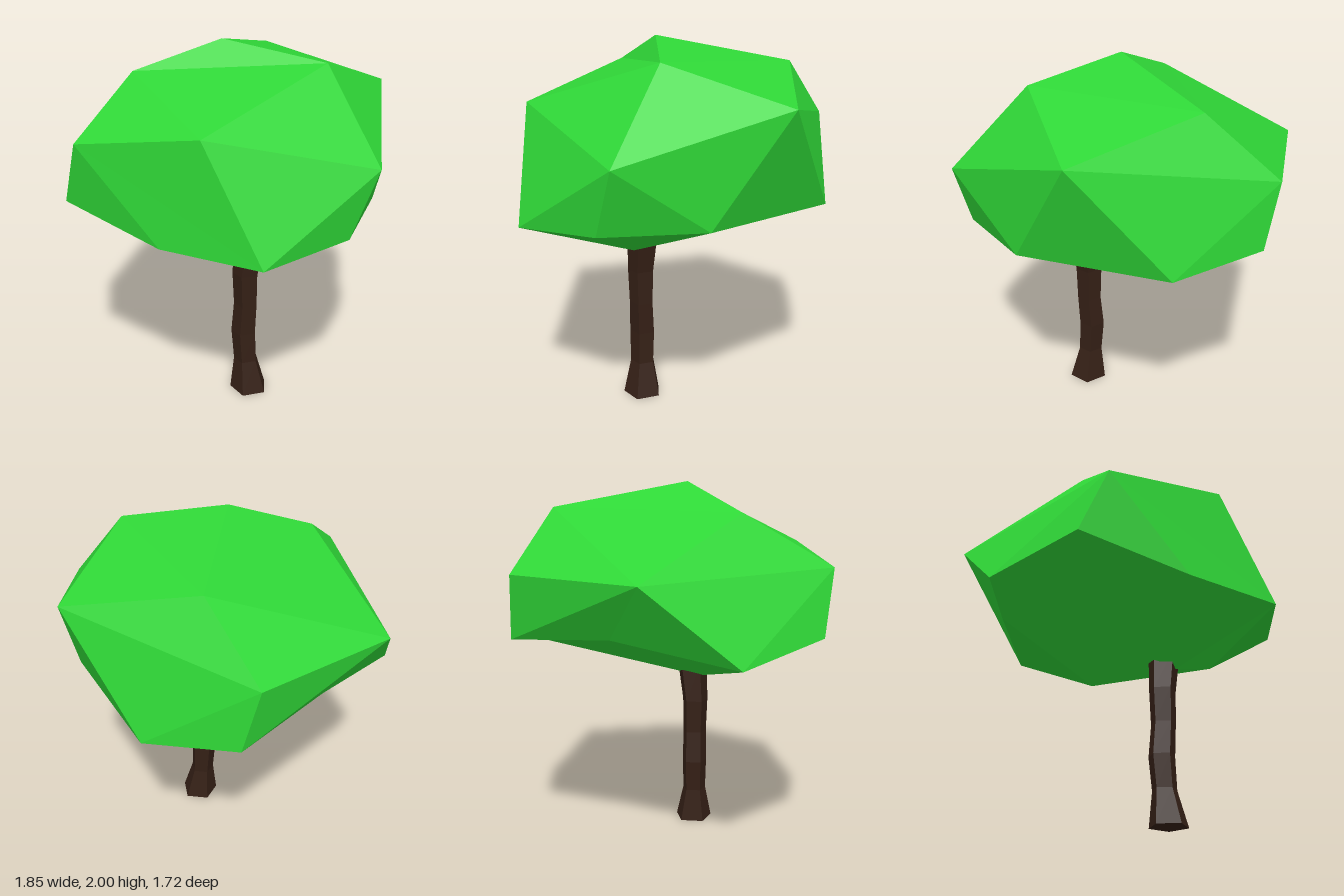
import * as THREE from 'three';

// Canopy corners: a stretched, uneven dodecahedron
const CORNERS = {
  A: [-0.56, 1.54, -0.75], B: [0.01, 1.14, -0.86], C: [0.49, 1.71, -0.75], D: [0.92, 1.47, 0.02],
  E: [0.66, 1.08, 0.61], F: [0.35, 1.67, 0.68], G: [-0.3, 1.57, 0.855], H: [-0.44, 1.23, 0.81],
  I: [-0.81, 1.13, 0.42], J: [-0.93, 1.53, -0.05], K: [-0.21, 1.865, -0.61], L: [0, 2, 0.08],
  M: [0.525, 1.91, -0.1], N: [-0.34, 1.84, 0.39], P: [0.83, 1.12, 0.13], Q: [0.67, 1.14, -0.39],
  R: [0.14, 1.1, 0.75], S: [0.26, 0.87, 0.13], T: [-0.48, 1.2, -0.78], U: [-0.67, 1.24, -0.23],
};
// Five-cornered faces, each split as a fan from its first corner
const FACES = [
  'NLMFG', 'KLNJA', 'MDCKL', 'DMFEP', 'GFERH', 'GHIJN',
  'JIUTA', 'ATBCK', 'QBCDP', 'EPQSR', 'BTUSQ', 'IUSRH',
];

function canopyGeometry() {
  const centre = new THREE.Vector3(0, 1.4, 0);
  const points = [];
  for (const face of FACES) {
    const p = [...face].map((k) => new THREE.Vector3(...CORNERS[k]));
    for (let i = 1; i < 4; i++) {
      const tri = new THREE.Triangle(p[0], p[i], p[i + 1]);
      const normal = tri.getNormal(new THREE.Vector3());
      const outward = normal.dot(tri.getMidpoint(new THREE.Vector3()).sub(centre)) > 0;
      points.push(p[0], ...(outward ? [p[i], p[i + 1]] : [p[i + 1], p[i]]));
    }
  }
  const geometry = new THREE.BufferGeometry().setFromPoints(points);
  geometry.computeVertexNormals();
  return geometry;
}

// Trunk rings from the ground up: height, centre x, centre z, radius
const RINGS = [
  [0, 0.21, 0.102, 0.109], [0.19, 0.19, 0.107, 0.069], [0.37, 0.178, 0.108, 0.074],
  [0.55, 0.191, 0.108, 0.07], [0.74, 0.189, 0.11, 0.076], [0.96, 0.208, 0.09, 0.09],
];

function trunkGeometry() {
  const geometry = new THREE.CylinderGeometry(1, 1, 1, 5, RINGS.length - 1, false, Math.PI / 2);
  const pos = geometry.attributes.position;
  for (let i = 0; i < pos.count; i++) {
    const [y, cx, cz, r] = RINGS[Math.round((pos.getY(i) + 0.5) * (RINGS.length - 1))];
    pos.setXYZ(i, cx + pos.getX(i) * r, y, cz + pos.getZ(i) * r);
  }
  geometry.computeVertexNormals();
  return geometry;
}

export function createModel() {
  const tree = new THREE.Group();
  tree.name = 'tree';
  const add = (name, geometry, color) => {
    const mesh = new THREE.Mesh(geometry, new THREE.MeshStandardMaterial({ color, flatShading: true }));
    mesh.name = name;
    tree.add(mesh);
  };
  add('trunk', trunkGeometry(), 0x352016);
  add('canopy', canopyGeometry(), 0x2fd737);
  return tree;
}
